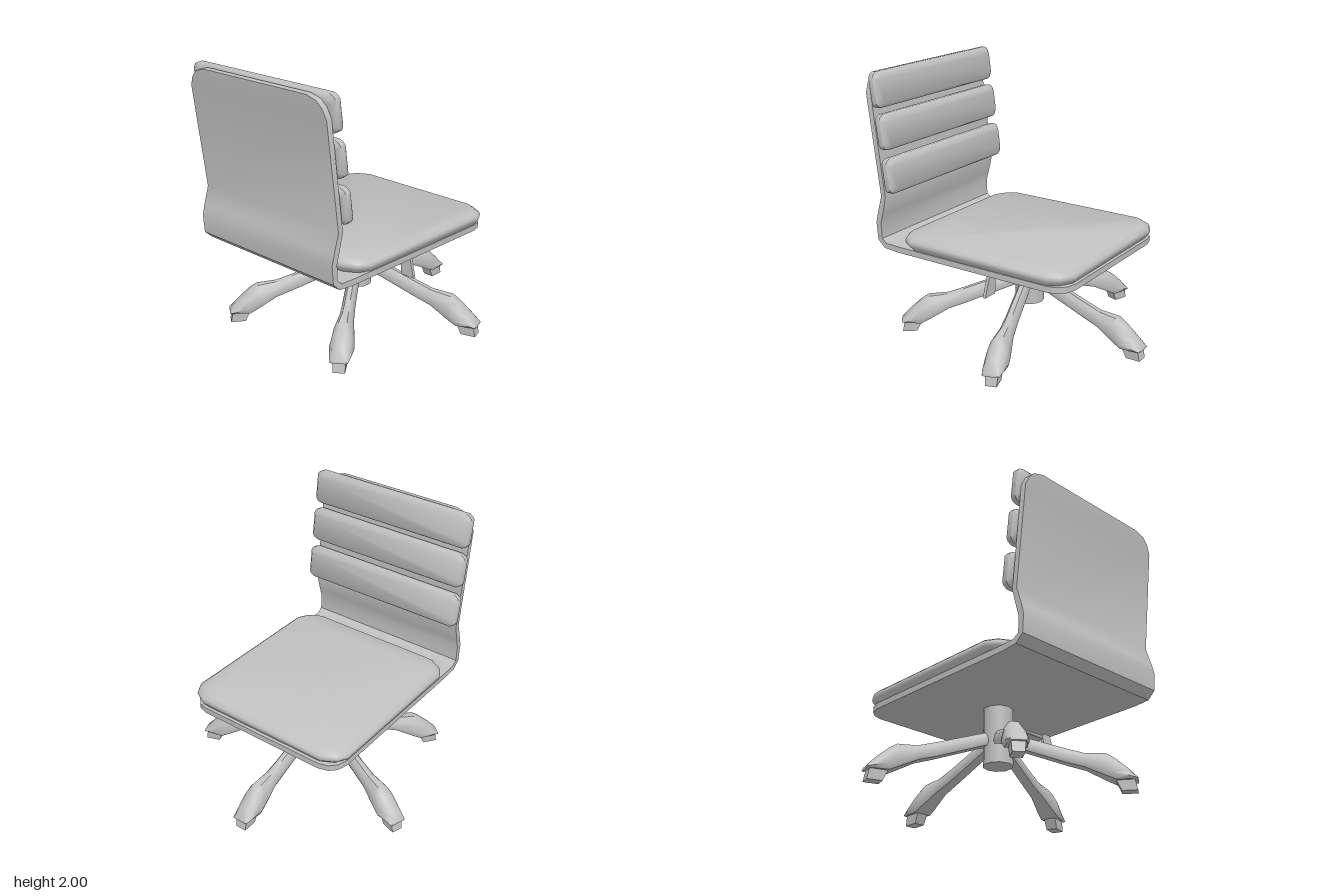
import * as THREE from 'three';
import { toCreasedNormals } from 'three/addons/utils/BufferGeometryUtils.js';

const grey = new THREE.MeshStandardMaterial({ color: 0xc0c0c0 });
grey.name = 'light grey';

// Skin a list of rings (equal numbers of [x, y, z] points) and cap both ends.
function loft(rings, crease = 0.7) {
  const n = rings[0].length, index = [];
  const last = (rings.length - 1) * n;
  for (let r = 0; r < rings.length - 1; r++) {
    for (let i = 0; i < n; i++) {
      const a = r * n + i, b = r * n + (i + 1) % n;
      index.push(a, b, b + n, a, b + n, a + n);
    }
  }
  for (let i = 1; i < n - 1; i++) {
    index.push(0, i + 1, i, last, last + i, last + i + 1);
  }
  // Turn the faces outward if the enclosed volume comes out negative.
  const p = rings.flat().map((v) => new THREE.Vector3(...v));
  let volume = 0;
  for (let i = 0; i < index.length; i += 3) {
    volume += p[index[i]].dot(p[index[i + 1]].clone().cross(p[index[i + 2]]));
  }
  if (volume < 0) index.reverse();
  const g = new THREE.BufferGeometry();
  g.setAttribute('position', new THREE.Float32BufferAttribute(rings.flat(2), 3));
  g.setIndex(index);
  return toCreasedNormals(g, crease);
}

function add(parent, name, geometry) {
  const mesh = new THREE.Mesh(geometry, grey);
  mesh.name = name;
  parent.add(mesh);
  return mesh;
}

// Padded slab lying in xz, with cut corners and bevelled rims.
function cushion(w, d, cornerX, cornerZ, levels) {
  const quarter = [[0, 1], [0.33, 0.4], [1, 0]];
  const rings = levels.map(([y, inset]) => {
    const ring = [];
    for (const [sx, sz] of [[1, 1], [-1, 1], [-1, -1], [1, -1]]) {
      const pts = quarter.map(([a, b]) =>
        [sx * (w - inset - a * cornerX), y, sz * (d - inset - b * cornerZ)]);
      ring.push(...(sx * sz > 0 ? pts : pts.reverse()));
    }
    return ring;
  });
  return loft(rings, 0.9);
}

// Bent sheet: each station is outer z, y, inner z, y, half width.
function shellGeometry() {
  const stations = [
    [-0.72, 0.67, -0.72, 0.715, 0.52],
    [-0.7, 0.67, -0.7, 0.715, 0.59],
    [-0.65, 0.67, -0.65, 0.715, 0.64],
    [-0.58, 0.67, -0.58, 0.715, 0.66],
    [0.74, 0.67, 0.72, 0.715, 0.66],
    [0.86, 0.68, 0.84, 0.72, 0.66],
    [0.92, 0.735, 0.88, 0.75, 0.66],
    [0.93, 0.87, 0.885, 0.87, 0.66],
    [0.91, 0.95, 0.865, 0.94, 0.66],
    [0.87, 1.08, 0.83, 1.075, 0.66],
    [0.965, 1.84, 0.922, 1.845, 0.66],
    [0.974, 1.91, 0.931, 1.915, 0.63],
    [0.978, 1.955, 0.936, 1.96, 0.585],
    [0.98, 1.98, 0.94, 1.985, 0.5],
  ];
  return loft(stations.map(([oz, oy, iz, iy, w]) =>
    [[-w, oy, oz], [w, oy, oz], [w, iy, iz], [-w, iy, iz]]), 0.6);
}

// Base leg running along -z: each station is radius, top, bottom, half width.
function legGeometry() {
  const stations = [
    [0.03, 0.495, 0.4, 0.045],
    [0.12, 0.47, 0.37, 0.045],
    [0.5, 0.335, 0.225, 0.05],
    [0.62, 0.295, 0.185, 0.057],
    [0.77, 0.28, 0.105, 0.083],
    [0.83, 0.24, 0.075, 0.09],
    [0.92, 0.16, 0.075, 0.077],
    [0.98, 0.095, 0.075, 0.063],
  ];
  const section = [[0.8, 0], [1, 0.25], [0.78, 0.72], [0.35, 1],
    [-0.35, 1], [-0.78, 0.72], [-1, 0.25], [-0.8, 0]];
  return loft(stations.map(([r, top, bottom, w]) =>
    section.map(([u, v]) => [u * w, bottom + v * (top - bottom), -r])), 0.9);
}

// Slanted foot block under a leg tip.
function casterGeometry() {
  const ring = (y, near, far, w) =>
    [[-w, y, -near], [w, y, -near], [w, y, -far], [-w, y, -far]];
  return loft([ring(0, 0.865, 0.975, 0.042), ring(0.1, 0.82, 0.955, 0.047)], 0.3);
}

export function createModel() {
  const chair = new THREE.Group();
  chair.name = 'officeChair';

  add(chair, 'shell', shellGeometry());

  // Seat pad
  add(chair, 'seatCushion', cushion(0.685, 0.725, 0.14, 0.13,
    [[0.715, 0.03], [0.75, 0.005], [0.77, 0], [0.79, 0.006], [0.815, 0.035]]));

  // Three back pads leaning with the shell
  const pad = cushion(0.685, 0.13, 0.045, 0.035,
    [[-0.045, 0.025], [-0.02, 0], [0.02, 0], [0.045, 0.025]]);
  [[1.87, 0.88], [1.565, 0.836], [1.245, 0.794]].forEach(([y, z], i) => {
    const mesh = add(chair, 'backCushion' + (i + 1), pad);
    mesh.position.set(0, y, z);
    mesh.rotation.x = -Math.PI / 2 + 0.13;
  });

  // Column
  const column = new THREE.CylinderGeometry(0.11, 0.11, 0.435, 10);
  add(chair, 'column', column).position.y = 0.4575;

  // Five legs with casters
  const leg = legGeometry(), caster = casterGeometry();
  for (let i = 0; i < 5; i++) {
    const arm = new THREE.Group();
    arm.name = 'baseArm' + (i + 1);
    arm.rotation.y = i * Math.PI * 2 / 5;
    add(arm, 'leg', leg);
    add(arm, 'caster', caster);
    chair.add(arm);
  }

  // Height lever
  const rod = add(chair, 'leverRod', new THREE.CylinderGeometry(0.012, 0.012, 0.38, 6));
  rod.rotation.z = Math.PI / 2;
  rod.position.set(0.28, 0.585, 0);
  const paddle = (z0, z1) => [[0.455, 0.61, z0], [0.53, 0.61, z0],
    [0.575, 0.45, z1], [0.455, 0.45, z1]];
  add(chair, 'leverPaddle', loft([paddle(-0.012, -0.004), paddle(0.012, 0.018)], 0.3));

  return chair;
}
